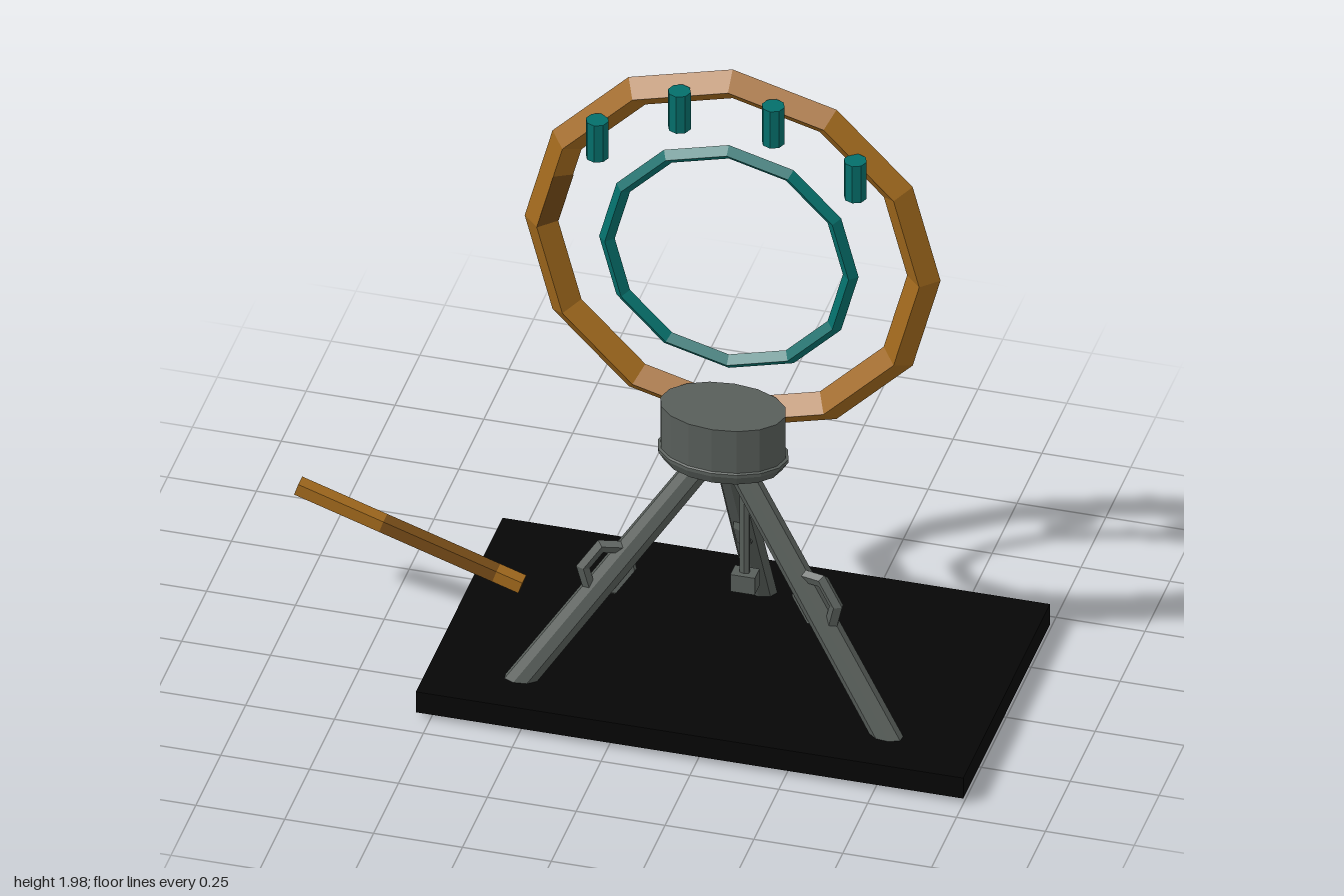
import * as THREE from 'three';

const mat = (name, color) => {
  const m = new THREE.MeshStandardMaterial({ color, flatShading: true });
  m.name = name;
  return m;
};

// Corner of the four-sided ring tube: step is the ring corner, side the tube corner
const ringCorner = (R, r, step, side) => {
  const u = (step * Math.PI) / 6, v = (side * Math.PI) / 2;
  const d = R + r * Math.cos(v);
  return new THREE.Vector3(d * Math.cos(u), d * Math.sin(u), r * Math.sin(v));
};

// Thin stain lying on one ring face, from fraction a to b of the segment
const stainGeometry = (R, r, step, side, a, b) => {
  const edge = s => {
    const p = ringCorner(R, r, step, s), q = ringCorner(R, r, step + 1, s);
    return [p.clone().lerp(q, a), p.clone().lerp(q, b)];
  };
  const [p0, p1] = edge(side), [q0, q1] = edge(side + 1);
  const geometry = new THREE.BufferGeometry().setFromPoints([p0, p1, q1, p0, q1, q0]);
  geometry.computeVertexNormals();
  return geometry;
};

export function createModel() {
  const gold = mat('bronze', 0xa1691d);
  const stain = mat('dark bronze', 0x744a17);
  const teal = mat('teal', 0x046f6b);
  const steel = mat('steel grey', 0x585e5a);
  const black = mat('black base', 0x060606);

  const model = new THREE.Group();
  model.name = 'ringOnTripod';
  const CX = 0.23; // axis of the stand

  const add = (parent, name, geometry, material, x = 0, y = 0, z = 0) => {
    const mesh = new THREE.Mesh(geometry, material);
    mesh.name = name;
    mesh.position.set(x, y, z);
    parent.add(mesh);
    return mesh;
  };

  // Base slab
  add(model, 'basePlate', new THREE.BoxGeometry(1.54, 0.067, 0.87), black, CX, 0.0515, -0.003);

  // Tripod, stretched sideways as a whole
  const tripod = new THREE.Group();
  tripod.name = 'tripod';
  tripod.position.set(CX, 0, 0.095);
  tripod.scale.x = 1.53;
  model.add(tripod);

  // Hub with a flared lower rim
  const profile = [[0, 0.762], [0.108, 0.762], [0.12, 0.79], [0.12, 0.8], [0.115, 0.803], [0.115, 0.94], [0, 0.94]];
  add(tripod, 'hub', new THREE.LatheGeometry(profile.map(p => new THREE.Vector2(...p)), 16), steel);

  // Legs with clamp rings and foot pads
  const top = new THREE.Vector3(0, 0.79, -0.025);
  const foot = new THREE.Vector3(0, 0.07, -0.395);
  const dir = top.clone().sub(foot);
  for (let i = 0; i < 3; i++) {
    const arm = new THREE.Group();
    arm.name = 'legAssembly';
    arm.rotation.y = (i * Math.PI * 2) / 3;
    tripod.add(arm);

    const mid = top.clone().add(foot).multiplyScalar(0.5);
    const leg = add(arm, 'leg', new THREE.CylinderGeometry(0.027, 0.029, dir.length(), 8), steel, mid.x, mid.y, mid.z);
    leg.quaternion.setFromUnitVectors(new THREE.Vector3(0, 1, 0), dir.clone().normalize());

    const ring = new THREE.TorusGeometry(0.046, 0.013, 5, 6);
    ring.rotateY(Math.PI / 2).scale(1.1, 1.7, 1).rotateX(0.15);
    add(arm, 'clampRing', ring, steel, 0, 0.433, -0.224);

    add(arm, 'footPad', new THREE.BoxGeometry(0.13, 0.02, 0.18), steel, 0, 0.011, -0.405);
  }

  // Hanging rod and weight
  add(tripod, 'hangingRod', new THREE.CylinderGeometry(0.01, 0.01, 0.4, 6), steel, 0.04, 0.58, 0);
  add(tripod, 'weight', new THREE.BoxGeometry(0.045, 0.055, 0.048), steel, 0.04, 0.383, 0);

  // Outer and inner rings
  const R = 0.538, r = 0.047;
  add(model, 'outerRing', new THREE.TorusGeometry(R, r, 4, 12), gold, CX, 1.398, 0);
  add(model, 'innerRing', new THREE.TorusGeometry(0.343, 0.022, 4, 12), teal, CX, 1.395, 0.038);

  // Stains on the outer ring: segment, tube face, start, end
  const stains = [[5, 1, 0.35, 1], [1, 3, 0.85, 1], [2, 3, 0, 0.15], [8, 2, 0.2, 1], [9, 2, 0.6, 1]];
  for (const [step, side, a, b] of stains) {
    add(model, 'ringStain', stainGeometry(R, r + 0.0015, step, side, a, b), stain, CX, 1.398, 0);
  }

  // Small cylinders along the top of the outer ring
  for (const side of [-1, 1]) {
    for (const [x, y] of [[0.132, 1.87], [0.363, 1.733]]) {
      add(model, 'lampCylinder', new THREE.CylinderGeometry(0.032, 0.032, 0.12, 8), teal, CX + side * x, y, 0.063);
    }
  }

  // Loose sloping bar beside the base, in lengths of lighter and darker metal
  const bar = new THREE.Group();
  bar.name = 'sideBar';
  bar.position.set(-0.677, 0.291, 0);
  bar.rotation.z = -0.318;
  model.add(bar);
  for (const [a, b, material] of [[-0.332, -0.08, gold], [-0.08, 0.255, stain], [0.255, 0.332, gold]]) {
    add(bar, 'barLength', new THREE.BoxGeometry(b - a, 0.037, 0.04), material, (a + b) / 2);
  }

  return model;
}
